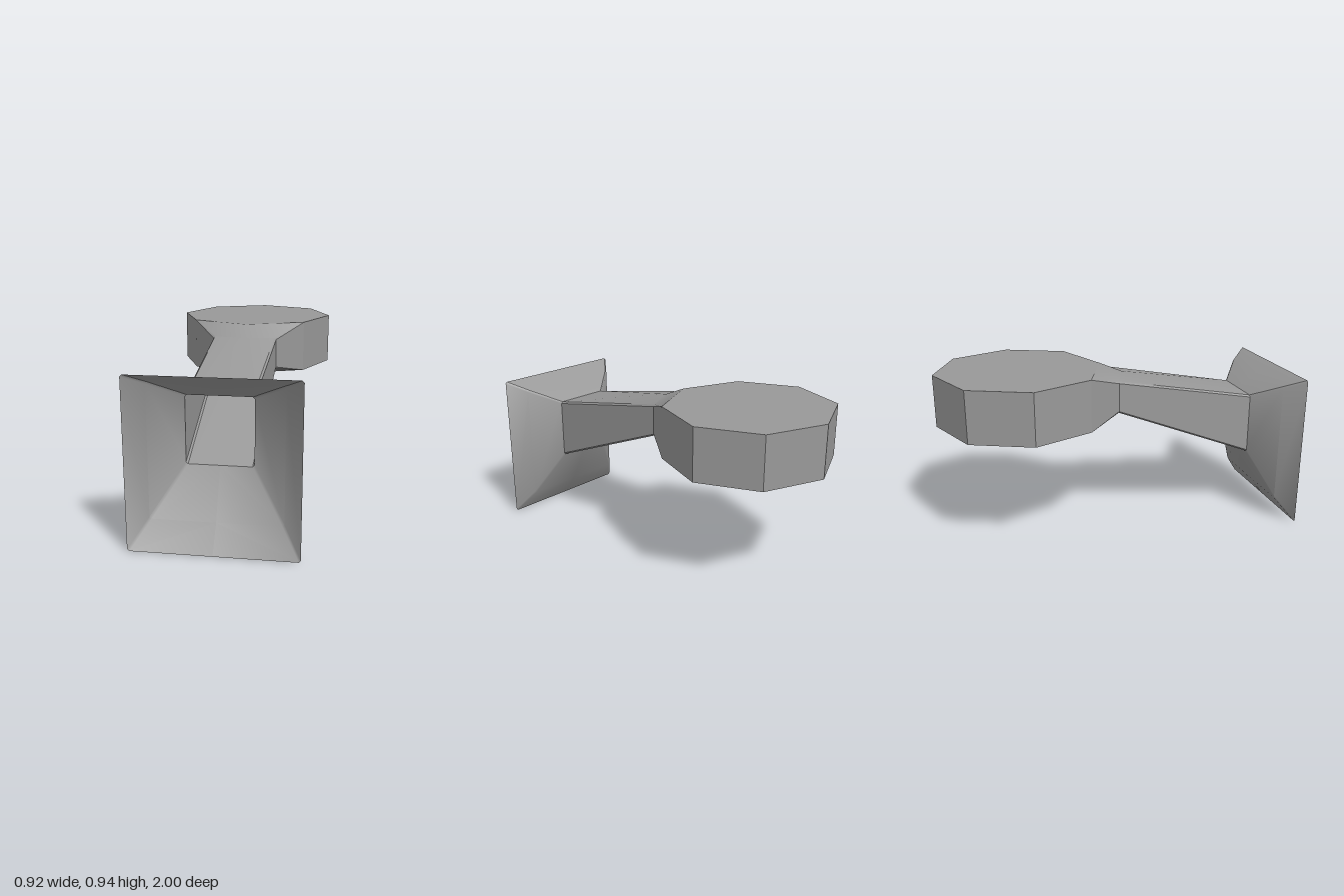
import * as THREE from 'three';
import { mergeVertices, toCreasedNormals } from 'three/addons/utils/BufferGeometryUtils.js';

const CUP_Z = -0.54, CUP_R = 0.46, CUP_TOP = 0.945, CUP_BASE = 0.657;

// Chamfered rectangular cross-section, with centre points on its top and bottom
// that may be pushed along z and y; counter-clockwise seen from the front.
function section({ z, w, lo, hi, c = 0.01, topZ = z, lowZ = z, topY = hi, lowY = lo }) {
  return [
    [w, lo + c, z], [w, hi - c, z], [w - c, hi, z], [0, topY, topZ], [c - w, hi, z],
    [-w, hi - c, z], [-w, lo + c, z], [c - w, lo, z], [0, lowY, lowZ], [w - c, lo, z],
  ];
}

// Open skin through cross-sections listed from front to back
function loft(sections) {
  const pos = [];
  for (let i = 0; i + 1 < sections.length; i++) {
    const f = sections[i], r = sections[i + 1], n = f.length;
    for (let j = 0; j < n; j++) {
      const a = f[j], b = f[(j + 1) % n], d = r[j], e = r[(j + 1) % n];
      // mirror the diagonals so both sides match
      const useE = j === 3 || j === 8;
      const tris = useE ? [a, d, b, b, d, e] : [a, e, b, a, d, e];
      pos.push(...tris.flat());
    }
  }
  const g = new THREE.BufferGeometry();
  g.setAttribute('position', new THREE.Float32BufferAttribute(pos, 3));
  return g;
}

export function createModel() {
  const group = new THREE.Group();
  const grey = new THREE.MeshStandardMaterial({ color: 0x999999, side: THREE.DoubleSide });
  grey.name = 'grey';

  const add = (name, geometry, crease) => {
    geometry.deleteAttribute('normal');
    geometry.deleteAttribute('uv');
    const mesh = new THREE.Mesh(toCreasedNormals(mergeVertices(geometry, 1e-4), crease), grey);
    mesh.name = name;
    group.add(mesh);
  };

  const throat = section({ z: 0.78, w: 0.17, lo: 0.38, hi: 0.73 });
  const neck = section({
    z: -0.02, w: 0.182, lo: 0.7, hi: 0.88, topZ: 0.05, topY: 0.888, lowZ: 0.02, lowY: 0.692,
  });

  // Flared rectangular mouth
  add('flaredMouth', loft([
    section({ z: 1, w: 0.418, lo: 0, hi: 0.868 }),
    section({ z: 0.9, w: 0.33, lo: 0.13, hi: 0.815 }),
    throat,
  ]), 0.6);

  // Rising duct that widens into the front of the cup
  const half = CUP_R * Math.SQRT1_2;
  add('duct', loft([
    throat,
    neck,
    section({
      z: CUP_Z + half, w: half, lo: CUP_BASE, hi: CUP_TOP, c: 0,
      topZ: CUP_Z + CUP_R, lowZ: CUP_Z + CUP_R,
    }),
  ]), 0.6);

  // Octagonal cup: six walls, leaving the two front sides open to the duct
  const wall = new THREE.CylinderGeometry(CUP_R, CUP_R, CUP_TOP - CUP_BASE, 6, 1, true, Math.PI / 4, Math.PI * 1.5);
  add('cupWall', wall.translate(0, (CUP_TOP + CUP_BASE) / 2, CUP_Z), 0.5);

  const lid = new THREE.CircleGeometry(CUP_R, 8).rotateX(-Math.PI / 2);
  add('cupTop', lid.translate(0, CUP_TOP, CUP_Z), 0.5);

  // Inward-turned lip around the open underside
  const lip = new THREE.LatheGeometry([
    new THREE.Vector2(0.385, 0.685), new THREE.Vector2(0.41, 0.662), new THREE.Vector2(CUP_R, CUP_BASE),
  ], 8);
  add('cupLip', lip.translate(0, 0, CUP_Z), 0.9);

  return group;
}
